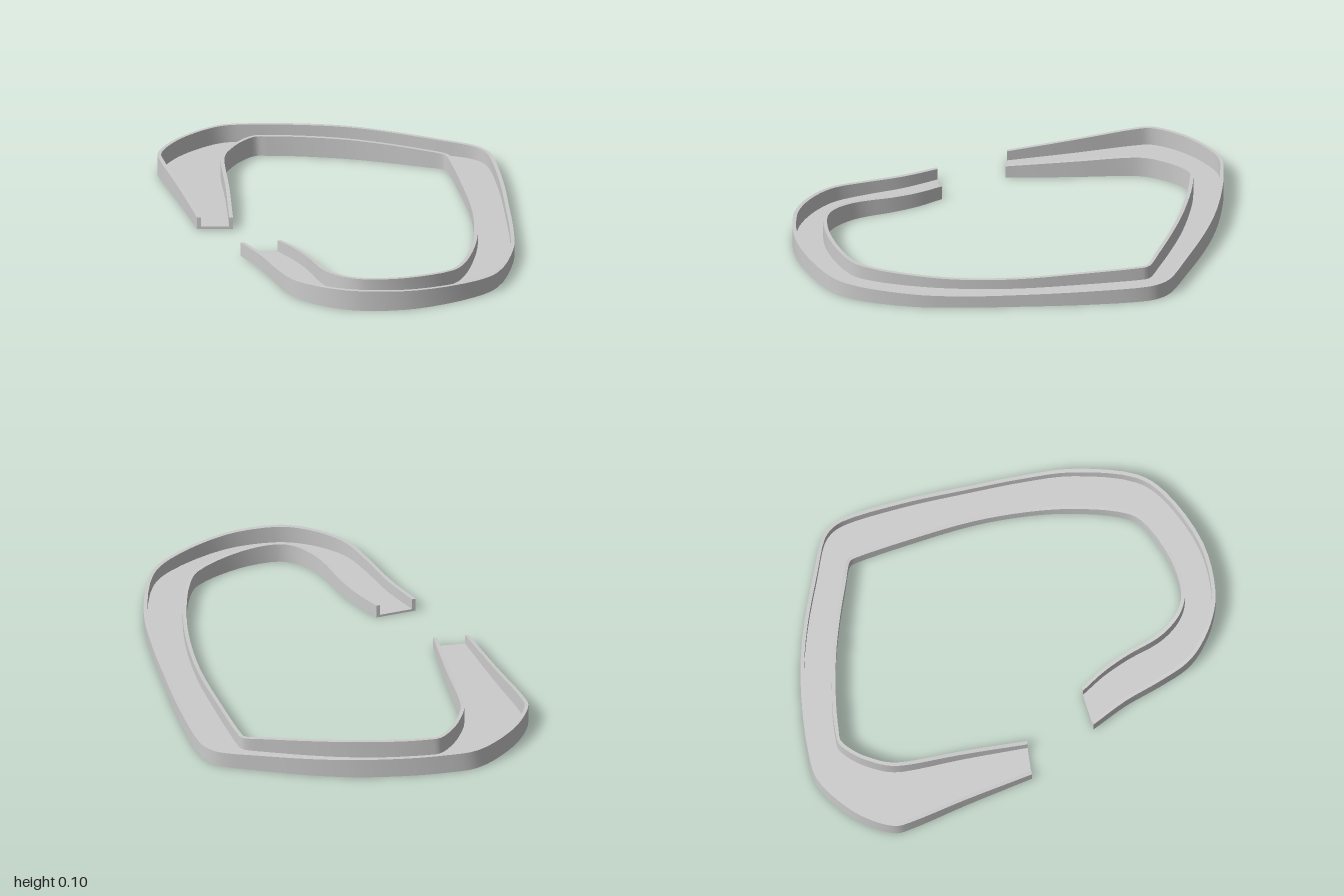
import * as THREE from 'three';
import { toCreasedNormals } from 'three/addons/utils/BufferGeometryUtils.js';

const WALL = 0.018, FLOOR = 0.012, STEPS = 4;

// Stations along the track: outer x, z, inner x, z, wall height
const stations = [
  [-0.65, 0.06, -0.48, 0.05, 0.06],
  [-0.76, -0.26, -0.515, -0.26, 0.081],
  [-0.86, -0.53, -0.555, -0.55, 0.098],
  [-0.875, -0.60, -0.55, -0.62, 0.1],
  [-0.84, -0.71, -0.53, -0.68, 0.1],
  [-0.76, -0.83, -0.49, -0.76, 0.1],
  [-0.605, -0.96, -0.425, -0.83, 0.1],
  [-0.445, -0.99, -0.37, -0.836, 0.1],
  [-0.25, -1.0, -0.235, -0.838, 0.1],
  [-0.02, -0.99, 0, -0.82, 0.099],
  [0.19, -0.955, 0.20, -0.785, 0.093],
  [0.425, -0.895, 0.37, -0.745, 0.085],
  [0.61, -0.84, 0.468, -0.722, 0.078],
  [0.663, -0.80, 0.485, -0.71, 0.076],
  [0.70, -0.74, 0.498, -0.68, 0.075],
  [0.77, -0.45, 0.565, -0.44, 0.07],
  [0.82, -0.13, 0.64, -0.12, 0.062],
  [0.855, 0.135, 0.668, 0.135, 0.06],
  [0.867, 0.37, 0.666, 0.34, 0.066],
  [0.81, 0.675, 0.63, 0.57, 0.076],
  [0.715, 0.795, 0.584, 0.665, 0.082],
  [0.44, 0.955, 0.37, 0.795, 0.094],
  [0.19, 0.995, 0.19, 0.832, 0.1],
  [0.055, 0.97, 0.11, 0.81, 0.098],
  [-0.075, 0.905, 0.045, 0.76, 0.092],
  [-0.155, 0.835, -0.01, 0.69, 0.086],
  [-0.235, 0.70, -0.08, 0.545, 0.078],
  [-0.32, 0.53, -0.15, 0.43, 0.073],
  [-0.425, 0.37, -0.235, 0.328, 0.068],
];

// Smooth rail through one side of the stations, with the wall height as y
const rail = (i) => new THREE.CatmullRomCurve3(
  stations.map((s) => new THREE.Vector3(s[i], s[4], s[i + 1])), false, 'centripetal');

// U-shaped section between matching points of the two rails
function section(outer, inner) {
  const at = (p, shift, y) => new THREE.Vector3(p.x, y, p.z).addScaledVector(across, shift);
  const across = new THREE.Vector3(inner.x - outer.x, 0, inner.z - outer.z).normalize();
  return [
    at(outer, 0, 0), at(outer, 0, outer.y), at(outer, WALL, outer.y), at(outer, WALL, FLOOR),
    at(inner, -WALL, FLOOR), at(inner, -WALL, inner.y), at(inner, 0, inner.y), at(inner, 0, 0),
  ];
}

function channelGeometry() {
  const outer = rail(0), inner = rail(2);
  const count = (stations.length - 1) * STEPS;
  const rings = [];
  for (let i = 0; i <= count; i++) {
    rings.push(section(outer.getPoint(i / count), inner.getPoint(i / count)));
  }

  const positions = [];
  const quad = (a, b, c, d) => {
    for (const p of [a, b, c, a, c, d]) positions.push(p.x, p.y, p.z);
  };
  // Skin between neighbouring sections
  for (let i = 0; i < count; i++) {
    const a = rings[i], b = rings[i + 1];
    for (let j = 0; j < 8; j++) {
      const k = (j + 1) % 8;
      quad(a[j], a[k], b[k], b[j]);
    }
  }
  // Cut ends: two walls and the floor
  for (const [p, q, r, s] of [[0, 1, 2, 3], [0, 3, 4, 7], [4, 5, 6, 7]]) {
    const first = rings[0], last = rings[count];
    quad(first[s], first[r], first[q], first[p]);
    quad(last[p], last[q], last[r], last[s]);
  }

  const geometry = new THREE.BufferGeometry();
  geometry.setAttribute('position', new THREE.Float32BufferAttribute(positions, 3));
  return toCreasedNormals(geometry, 0.5);
}

export function createModel() {
  const group = new THREE.Group();
  group.name = 'openLoopChannel';
  const channel = new THREE.Mesh(
    channelGeometry(), new THREE.MeshStandardMaterial({ color: 0xcccccc }));
  channel.name = 'walledTrack';
  group.add(channel);
  return group;
}
